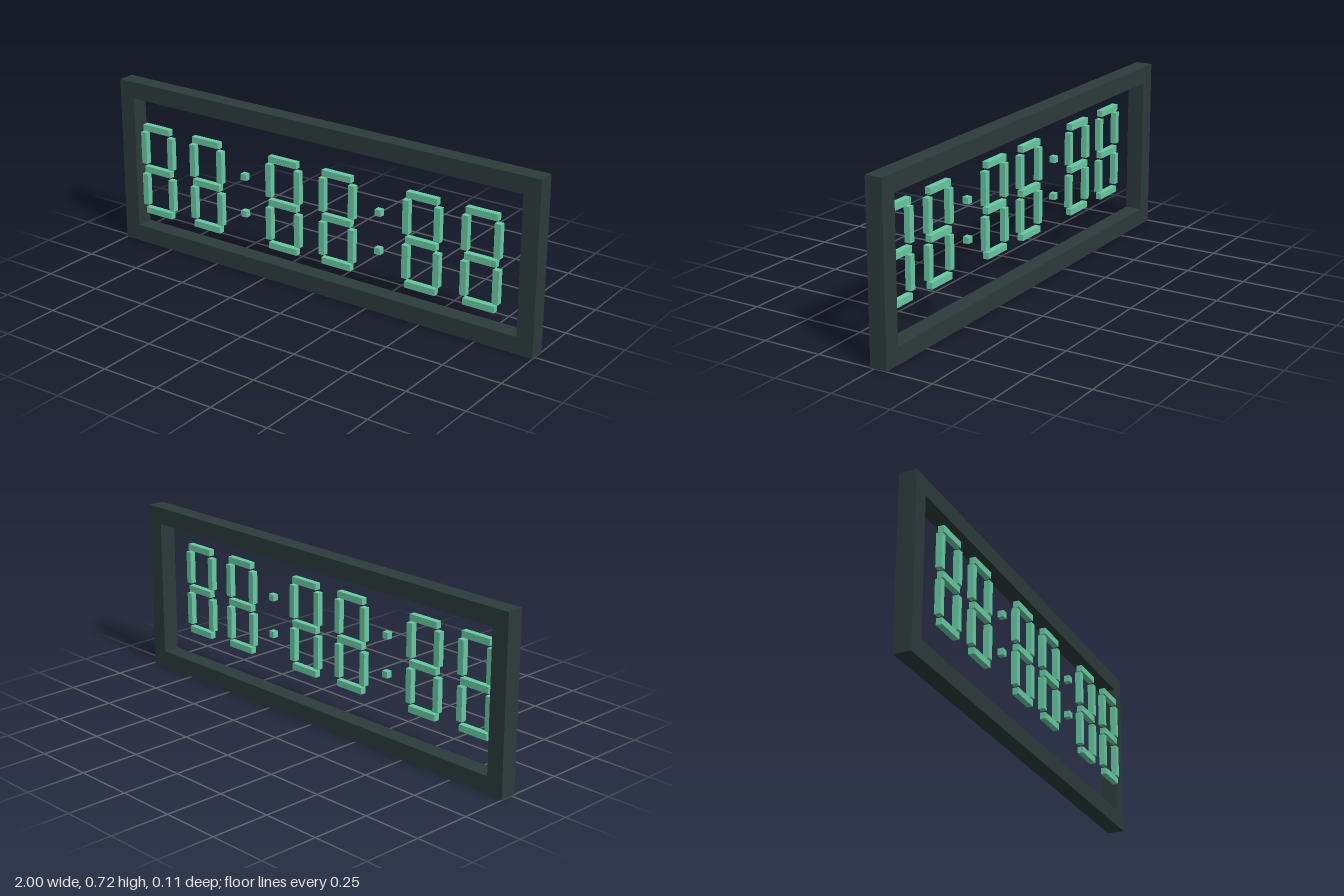
import * as THREE from 'three';

export function createModel() {
  const model = new THREE.Group();
  model.name = 'digitalClock';
  const frameMat = new THREE.MeshStandardMaterial({ name: 'dark slate', color: 0x2d3b3b });
  const ledMat = new THREE.MeshStandardMaterial({ name: 'mint green', color: 0x68cba3 });

  // Rectangular frame with an open centre
  const W = 2, H = 0.72, border = 0.072, depth = 0.072;
  const rect = (path, x0, y0, x1, y1) =>
    path.moveTo(x0, y0).lineTo(x1, y0).lineTo(x1, y1).lineTo(x0, y1).closePath();
  const outline = rect(new THREE.Shape(), -W / 2, 0, W / 2, H);
  outline.holes.push(rect(new THREE.Path(), -W / 2 + border, border, W / 2 - border, H - border));
  const frame = new THREE.Mesh(
    new THREE.ExtrudeGeometry(outline, { depth, bevelEnabled: false }), frameMat);
  frame.name = 'frame';
  frame.position.z = -0.054;
  model.add(frame);

  // Segment bars float just in front of the frame
  const T = 0.027, barDepth = 0.025, ledZ = 0.0425, midY = 0.361;
  const horizontal = new THREE.BoxGeometry(0.137, T, barDepth);
  const vertical = new THREE.BoxGeometry(T, 0.139, barDepth);
  const dot = new THREE.BoxGeometry(T, T, barDepth);
  const addLed = (parent, geometry, name, x, y) => {
    const mesh = new THREE.Mesh(geometry, ledMat);
    mesh.name = name;
    mesh.position.set(x, y, 0);
    parent.add(mesh);
  };
  const addGroup = (name, x) => {
    const group = new THREE.Group();
    group.name = name;
    group.position.set(x, midY, ledZ);
    model.add(group);
    return group;
  };

  // Six seven-segment digits
  for (const x of [-0.78, -0.52, -0.13, 0.13, 0.52, 0.78]) {
    const digit = addGroup('digit', x);
    for (const y of [-0.186, 0, 0.186]) addLed(digit, horizontal, 'horizontalSegment', 0, y);
    for (const sx of [-1, 1])
      for (const sy of [-1, 1]) addLed(digit, vertical, 'verticalSegment', sx * 0.07, sy * 0.093);
  }

  // Two colons between the digit pairs
  for (const x of [-0.325, 0.325]) {
    const colon = addGroup('colon', x);
    for (const y of [-0.08, 0.08]) addLed(colon, dot, 'colonDot', 0, y);
  }
  return model;
}
